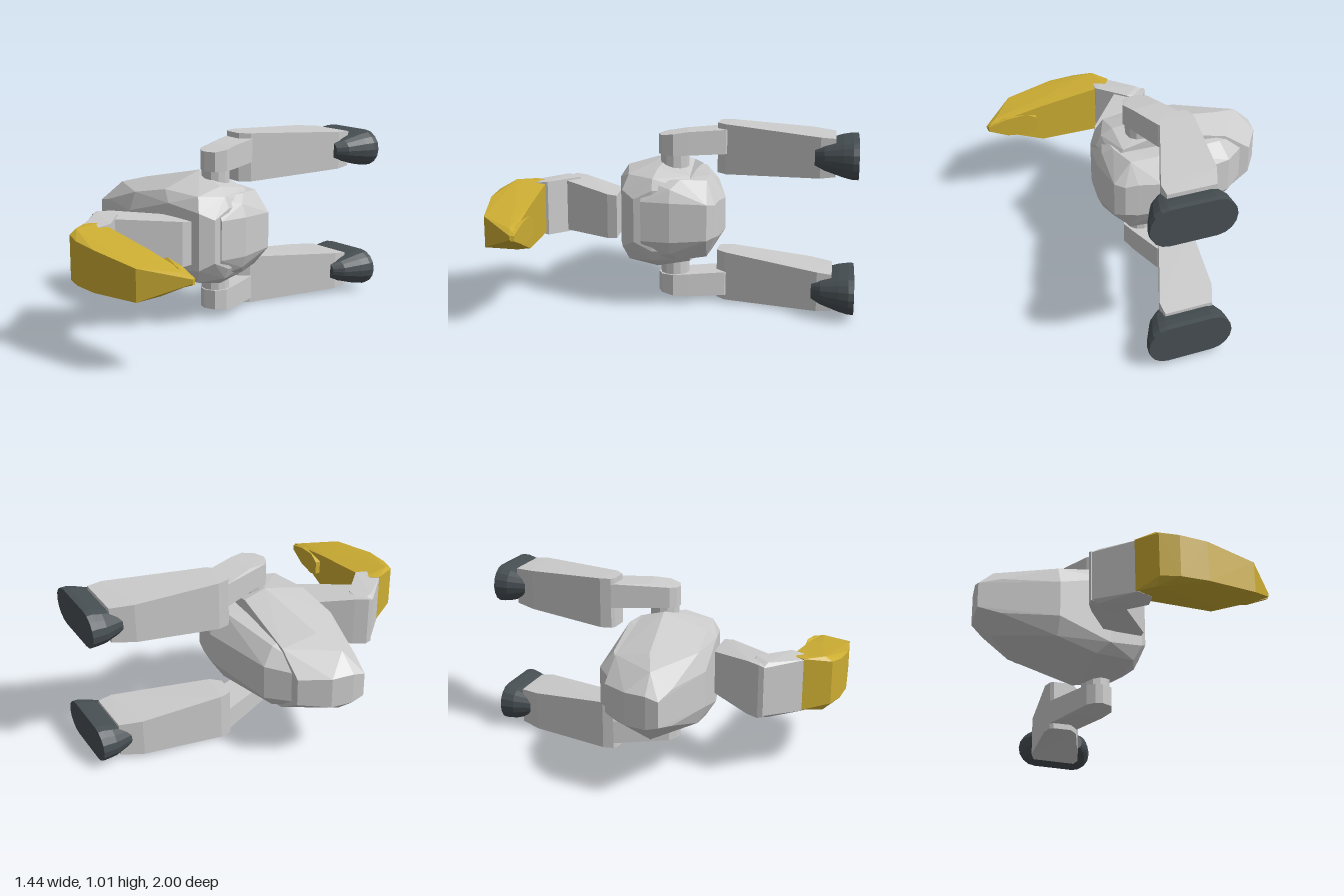
import * as THREE from 'three';
import { ConvexGeometry } from 'three/addons/geometries/ConvexGeometry.js';

const MID = 0.51; // height of the mirror plane
const mat = (color) => new THREE.MeshStandardMaterial({ color, flatShading: true });

export function createModel() {
  const model = new THREE.Group();
  const grey = mat(0xcccccc), yellow = mat(0xccad33), dark = mat(0x474f53);

  const add = (parent, name, geometry, material) => {
    const mesh = new THREE.Mesh(geometry, material);
    mesh.name = name;
    parent.add(mesh);
    return mesh;
  };

  // Faceted solid from rows [x, z, low, high]; heights are measured from the mirror plane
  const solid = (parent, name, material, rows, side = 1) => {
    const points = rows.flatMap(([x, z, low, high]) =>
      [low, high].map((h) => new THREE.Vector3(x, MID + side * h, z)));
    return add(parent, name, new ConvexGeometry(points), material);
  };
  // Rows [x, z, half height], symmetric about the mirror plane
  const even = (rows) => rows.map(([x, z, h]) => [x, z, -h, h]);

  // Body: broad shell and the narrower hull behind it
  solid(model, 'bodyShell', grey, even([
    [-0.60, -0.10, 0.08], [-0.45, -0.10, 0.19], [-0.07, -0.10, 0.29], [0.16, -0.10, 0.24], [0.21, -0.10, 0.17],
    [-0.70, 0.05, 0.09], [-0.72, 0.17, 0.09], [-0.72, 0.24, 0.07], [-0.62, 0.16, 0.185], [-0.47, 0.10, 0.23],
    [-0.07, 0.03, 0.325], [0.16, 0.08, 0.275], [0.22, 0.10, 0.23], [0.25, 0.10, 0.17], [0.25, 0.20, 0.12],
    [0.20, 0.27, 0.16], [0.16, 0.24, 0.24], [-0.07, 0.28, 0.25], [0.0, 0.315, 0.19], [-0.30, 0.31, 0.20],
    [-0.30, 0.35, 0.10], [-0.60, 0.27, 0.10],
  ]));
  solid(model, 'bodyBack', grey, even([
    [-0.68, 0.02, 0.08], [-0.43, -0.20, 0.10], [-0.40, -0.13, 0.19], [0.0, -0.28, 0.09], [0.0, -0.20, 0.22],
    [0.13, -0.255, 0.10], [0.15, -0.19, 0.215], [0.20, -0.24, 0.09], [0.25, -0.20, 0.10], [0.20, -0.05, 0.225],
    [0.28, 0.0, 0.11], [0.25, 0.0, 0.18], [0.26, 0.16, 0.11], [0.20, 0.15, 0.22], [-0.35, 0.10, 0.22],
  ]));

  // Bent neck
  solid(model, 'lowerNeck', grey, even([
    [-0.04, 0.31, 0.12], [0.18, 0.305, 0.12], [0.17, 0.36, 0.125], [-0.05, 0.64, 0.145],
    [-0.13, 0.66, 0.14], [-0.24, 0.65, 0.14], [-0.24, 0.62, 0.15], [-0.20, 0.55, 0.15],
  ]));
  solid(model, 'upperNeck', grey, even([
    [-0.24, 0.645, 0.135], [-0.22, 0.585, 0.14], [-0.15, 0.565, 0.14], [-0.11, 0.575, 0.155],
    [-0.20, 0.66, 0.155], [0.04, 0.73, 0.155], [0.03, 0.80, 0.145], [-0.06, 0.83, 0.145],
  ]));

  // Wedge-shaped head with a pointed tip and a flat lip at its back
  solid(model, 'head', yellow, [
    [-0.07, 0.82, -0.14, 0.15], [-0.03, 0.745, -0.14, 0.15], [0.0, 0.92, -0.15, 0.155],
    [0.0, 0.96, -0.11, 0.13], [0.10, 0.99, -0.11, 0.12], [0.25, 0.995, -0.11, 0.11],
    [0.38, 0.82, -0.15, 0.095], [0.38, 0.745, -0.14, 0.09], [0.53, 0.95, -0.10, 0.07],
    [0.53, 0.80, -0.10, 0.07], [0.66, 0.775, -0.03, 0.045], [0.70, 0.745, -0.01, 0.03],
    [0.72, 0.755, 0.0, 0.02],
  ]);
  solid(model, 'lip', yellow, [
    [0.42, 0.71, -0.04, 0.04], [0.42, 0.74, -0.04, 0.04], [0.48, 0.715, -0.065, 0.07],
    [0.60, 0.725, -0.055, 0.055], [0.60, 0.755, -0.055, 0.055], [0.71, 0.735, -0.01, 0.02],
    [0.715, 0.755, -0.01, 0.02],
  ]);

  // Mirrored pair of legs
  for (const side of [1, -1]) {
    const leg = new THREE.Group();
    leg.name = side > 0 ? 'upperSideLeg' : 'lowerSideLeg';
    model.add(leg);

    const hip = add(leg, 'hip', new THREE.CylinderGeometry(0.08, 0.08, 0.1, 12), grey);
    hip.position.set(0.03, MID + side * 0.31, 0);

    solid(leg, 'thigh', grey, [
      [-0.04, 0.05, 0.34, 0.455], [0.0, 0.08, 0.34, 0.45], [0.04, 0.09, 0.34, 0.45], [0.10, 0.065, 0.34, 0.45],
      [0.125, 0.0, 0.34, 0.46], [0.10, -0.08, 0.34, 0.47], [-0.06, -0.06, 0.34, 0.47],
      [0.03, -0.28, 0.34, 0.475], [0.0, -0.31, 0.34, 0.475], [-0.14, -0.31, 0.34, 0.475], [-0.15, -0.25, 0.34, 0.475],
    ], side);

    solid(leg, 'shin', grey, [
      [-0.16, -0.31, 0.225, 0.505], [-0.15, -0.25, 0.225, 0.505], [-0.13, -0.235, 0.225, 0.505],
      [-0.03, -0.23, 0.225, 0.505], [0.02, -0.28, 0.225, 0.505], [-0.09, -0.76, 0.26, 0.485],
      [0.22, -0.80, 0.26, 0.48], [0.22, -0.88, 0.27, 0.475], [-0.04, -0.88, 0.27, 0.475],
    ], side);

    // Foot: rounded slab flaring out to a flat sole
    const layers = [[-1, 0.105, -0.1, 0.355], [-0.97, 0.105, -0.1, 0.355], [-0.92, 0.095, -0.1, 0.335],
      [-0.82, 0.065, -0.07, 0.285], [-0.77, 0.045, 0.1, 0.235]];
    const rim = [];
    for (const [z, r, x0, x1] of layers) {
      for (let i = 0; i <= 8; i++) {
        const a = (i / 8 - 0.5) * Math.PI;
        const y = MID + side * 0.37 + r * Math.sin(a);
        rim.push(new THREE.Vector3(x1 - r + r * Math.cos(a), y, z));
        rim.push(new THREE.Vector3(x0 + r - r * Math.cos(a), y, z));
      }
    }
    add(leg, 'foot', new ConvexGeometry(rim), dark);
  }
  return model;
}
